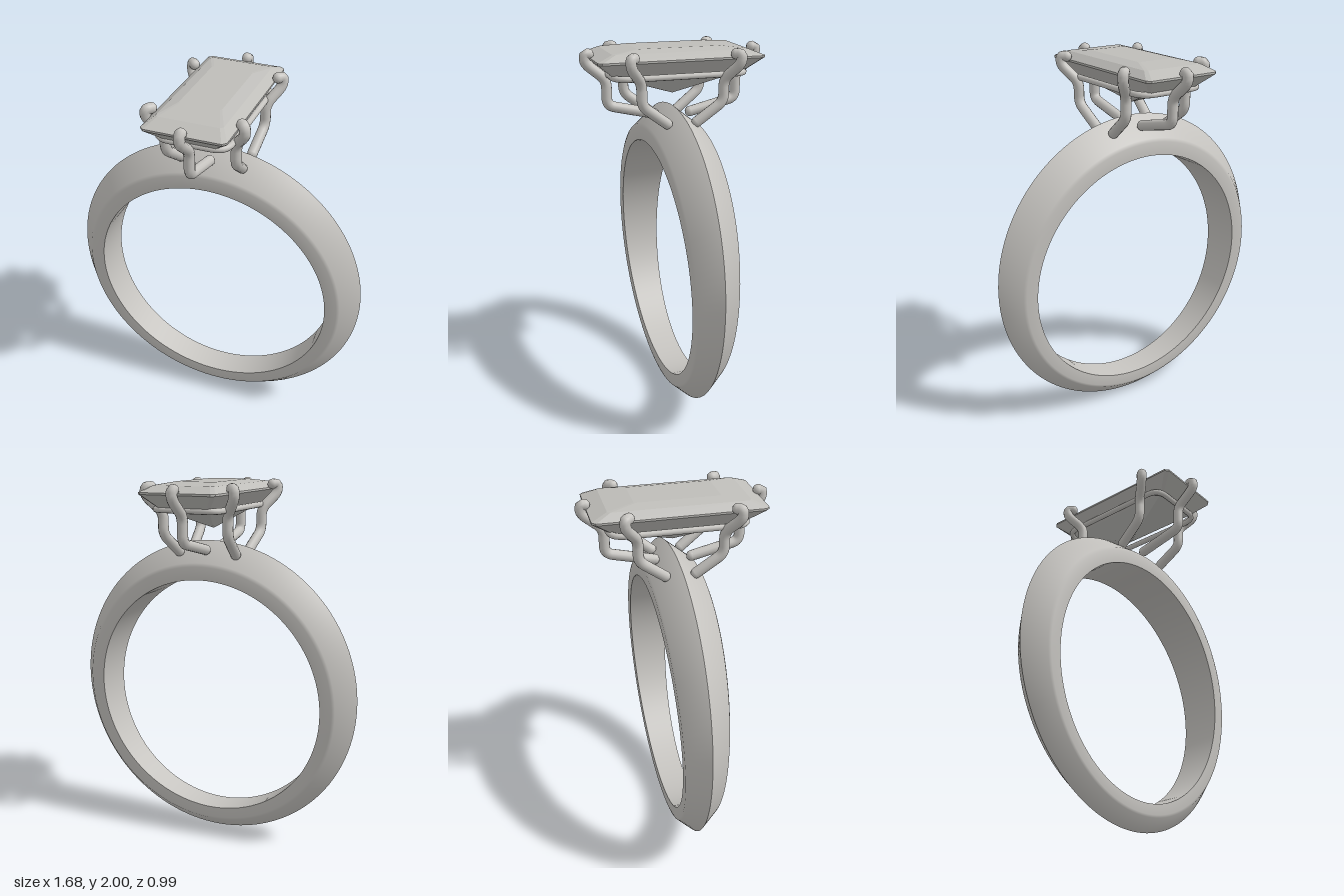
import * as THREE from 'three';
import { toCreasedNormals } from 'three/addons/utils/BufferGeometryUtils.js';
import { ConvexGeometry } from 'three/addons/geometries/ConvexGeometry.js';

const metal = new THREE.MeshStandardMaterial({ color: 0xc6c4c0 });
metal.name = 'metal';
const stone = new THREE.MeshStandardMaterial({ color: 0xbebdb9 });
stone.name = 'stone';

function addMesh(parent, name, geometry, material) {
  const mesh = new THREE.Mesh(geometry, material);
  mesh.name = name;
  parent.add(mesh);
  return mesh;
}

// Knife-edged band: a cross-section swept round, tapering towards the bottom
function bandGeometry() {
  // each corner: circle radius, circle centre height, share of the half width
  const half = [[0.752, 0.82, 0.95], [0.735, 0.817, 1], [0.67, 0.81, 0.98]];
  const profile = [
    [0.84, 0.84, 0],
    ...half,
    ...half.map(([r, c, w]) => [r, c, -w]).reverse(),
  ];
  const segments = 120, n = profile.length;
  const positions = [], index = [];
  for (let i = 0; i < segments; i++) {
    const a = (i / segments) * Math.PI * 2;
    const width = THREE.MathUtils.lerp(0.08, 0.145, (Math.sin(a) + 1) / 2);
    for (const [r, c, w] of profile) {
      positions.push(r * Math.cos(a), c + r * Math.sin(a), w * width);
    }
    const next = (i + 1) % segments;
    for (let j = 0; j < n; j++) {
      const k = (j + 1) % n;
      const p = i * n + j, q = next * n + j, s = i * n + k, t = next * n + k;
      index.push(p, q, s, q, t, s);
    }
  }
  const geometry = new THREE.BufferGeometry();
  geometry.setAttribute('position', new THREE.Float32BufferAttribute(positions, 3));
  geometry.setIndex(index);
  return toCreasedNormals(geometry, 0.6);
}

// Step-cut stone: stacked rectangles with clipped corners, down to a point
function stoneGeometry() {
  // half width, half length, height, corner clip
  const steps = [
    [0.11, 0.22, 2.0, 0.008],
    [0.17, 0.36, 1.985, 0.014],
    [0.215, 0.443, 1.953, 0.02],
    [0.215, 0.443, 1.943, 0.02],
    [0.14, 0.35, 1.866, 0.012],
  ];
  const points = [new THREE.Vector3(0, 1.747, 0)];
  for (const [x, z, y, c] of steps) {
    for (const sx of [-1, 1]) {
      for (const sz of [-1, 1]) {
        points.push(new THREE.Vector3(sx * (x - c), y, sz * z));
        points.push(new THREE.Vector3(sx * x, y, sz * (z - c)));
      }
    }
  }
  return new ConvexGeometry(points);
}

// Polyline with rounded bends
function bentPath(points, bend) {
  const path = new THREE.CurvePath();
  let from = points[0];
  for (let i = 1; i < points.length - 1; i++) {
    const p = points[i];
    const toward = (q) => p.clone().lerp(q, Math.min(0.45, bend / p.distanceTo(q)));
    const a = toward(points[i - 1]), b = toward(points[i + 1]);
    path.add(new THREE.LineCurve3(from, a));
    path.add(new THREE.QuadraticBezierCurve3(a, p, b));
    from = b;
  }
  path.add(new THREE.LineCurve3(from, points[points.length - 1]));
  return path;
}

// Bent wire claw with rounded ends
function makeProng(name, coords) {
  const radius = 0.028;
  const points = coords.map((c) => new THREE.Vector3(...c));
  const prong = new THREE.Group();
  prong.name = name;
  addMesh(prong, 'wire', new THREE.TubeGeometry(bentPath(points, 0.04), 56, radius, 12), metal);
  for (const p of [points[0], points[points.length - 1]]) {
    addMesh(prong, 'wireEnd', new THREE.SphereGeometry(radius, 12, 8), metal).position.copy(p);
  }
  return prong;
}

// Thin rail under the stone, a rounded rectangle
function railGeometry() {
  const x = 0.185, z = 0.352, r = 0.08, y = 1.864;
  const v = (a, b) => new THREE.Vector3(a, y, b);
  const path = new THREE.CurvePath();
  const corners = [[x, z], [-x, z], [-x, -z], [x, -z]];
  corners.forEach(([cx, cz], i) => {
    const sx = Math.sign(cx), sz = Math.sign(cz);
    const alongX = v(cx - sx * r, cz), alongZ = v(cx, cz - sz * r);
    const [a, b] = i % 2 ? [alongX, alongZ] : [alongZ, alongX];
    path.add(new THREE.QuadraticBezierCurve3(a, v(cx, cz), b));
    const [nx, nz] = corners[(i + 1) % 4];
    const end = i % 2
      ? v(nx, nz - Math.sign(nz) * r)
      : v(nx - Math.sign(nx) * r, nz);
    path.add(new THREE.LineCurve3(b, end));
  });
  return new THREE.TubeGeometry(path, 120, 0.016, 10, true);
}

export function createModel() {
  const ring = new THREE.Group();
  ring.name = 'ring';
  addMesh(ring, 'band', bandGeometry(), metal);
  addMesh(ring, 'stone', stoneGeometry(), stone);

  const setting = new THREE.Group();
  setting.name = 'setting';
  ring.add(setting);
  addMesh(setting, 'rail', railGeometry(), metal);

  for (const sz of [1, -1]) {
    const end = sz > 0 ? 'front' : 'back';
    // claw over each short end
    setting.add(makeProng(end + 'Prong', [
      [0, 1.64, 0.1], [0, 1.7, 0.357], [0, 1.835, 0.357],
      [0, 1.925, 0.468], [0, 1.972, 0.468], [0, 1.97, 0.447],
    ].map(([x, y, z]) => [x, y, z * sz])));
    // claws along the long sides
    for (const sx of [1, -1]) {
      setting.add(makeProng(end + (sx > 0 ? 'Left' : 'Right') + 'Prong', [
        [0.168, 1.62, 0.08], [0.187, 1.725, 0.22], [0.187, 1.84, 0.22],
        [0.252, 1.925, 0.288], [0.252, 1.972, 0.292], [0.23, 1.972, 0.268],
      ].map(([x, y, z]) => [x * sx, y, z * sz])));
    }
  }
  return ring;
}
